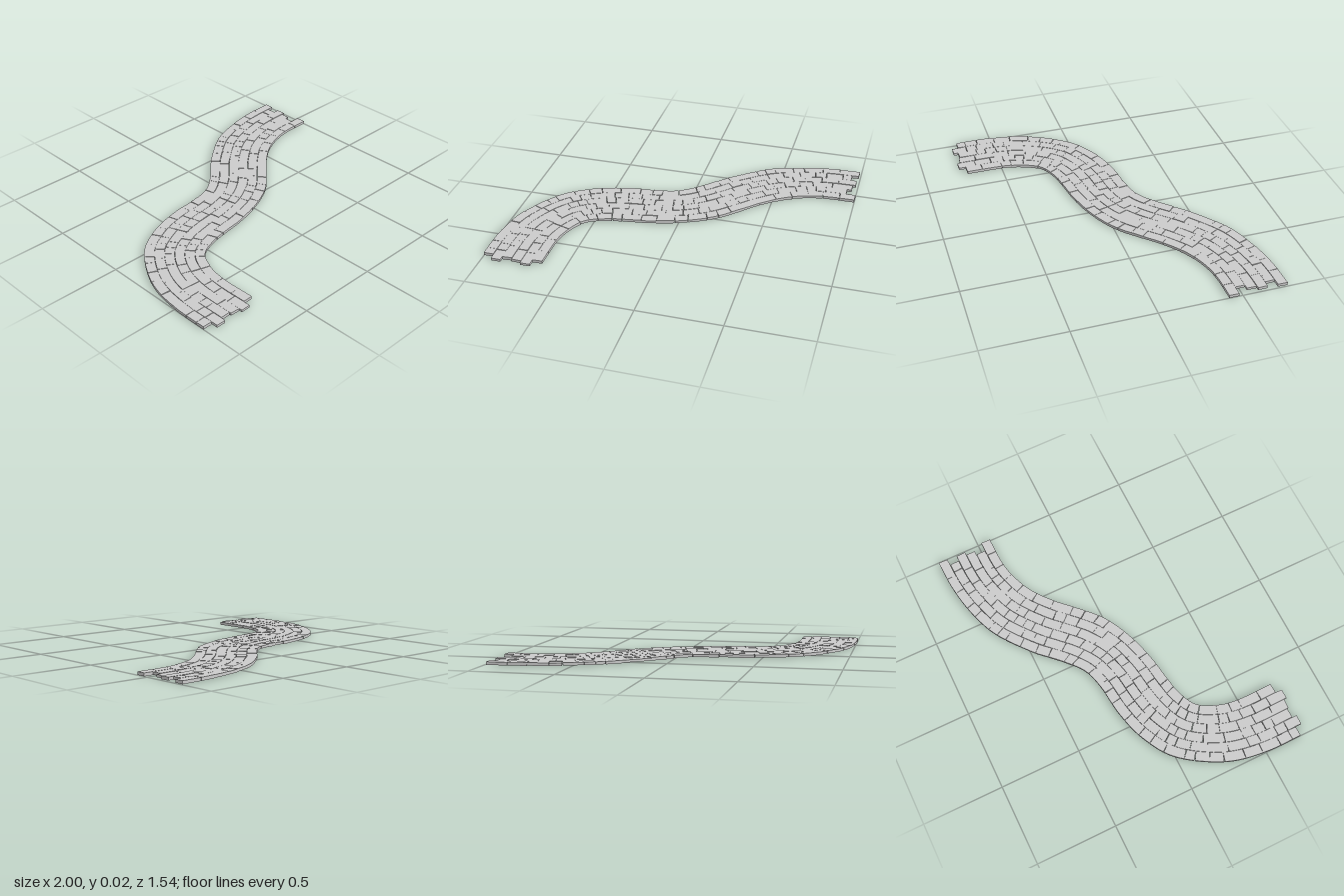
import * as THREE from 'three';

// Matching points on the two kerbs of the path: outer x, z, inner x, z
const RAILS = [
  [-1, 0.77, -0.64, 0.77], [-0.998, 0.5, -0.64, 0.5], [-0.945, 0.25, -0.61, 0.36],
  [-0.79, 0, -0.55, 0.255], [-0.6, -0.125, -0.44, 0.2], [-0.4, -0.185, -0.32, 0.175],
  [-0.2, -0.21, -0.16, 0.148], [-0.07, -0.25, 0.03, 0.09], [0.03, -0.33, 0.2, 0],
  [0.1, -0.4, 0.34, -0.13], [0.2, -0.5, 0.44, -0.23], [0.4, -0.65, 0.57, -0.33],
  [0.6, -0.727, 0.71, -0.39], [0.8, -0.765, 0.83, -0.413], [1, -0.775, 1, -0.418],
];
// How far each row stops short of the two ends
const START_TRIM = [0.04, 0, 0.03, 0.02, 0, 0.045];
const END_TRIM = [0.01, 0.052, 0.015, 0.033, 0.06, 0];
const ROWS = 6;
const GAP = 0.0025;

let seed = 7;
function rand(min, max) {
  seed = (seed * 16807) % 2147483647;
  return min + (max - min) * (seed / 2147483647);
}

// Curve along the path at v = 0 (outer kerb) to 1 (inner kerb)
function laneCurve(v) {
  const points = RAILS.map(([ax, az, bx, bz]) =>
    new THREE.Vector3(ax + (bx - ax) * v, 0, az + (bz - az) * v));
  const curve = new THREE.CatmullRomCurve3(points, false, 'catmullrom', 0.5);
  curve.arcLengthDivisions = 400;
  return curve;
}

const outer = laneCurve(0);
const inner = laneCurve(1);

// A box bent to follow the path between t0..t1 and v0..v1
function brickGeometry(t0, t1, v0, v1, bottom, top) {
  const geometry = new THREE.BoxGeometry(1, 1, 1, 4, 1, 1);
  const pos = geometry.attributes.position;
  const skew = rand(-0.0008, 0.0008);
  for (let i = 0; i < pos.count; i++) {
    const across = pos.getZ(i);
    const t = THREE.MathUtils.clamp(
      THREE.MathUtils.lerp(t0, t1, pos.getX(i) + 0.5) + skew * across, 0, 1);
    const p = outer.getPoint(t).lerp(inner.getPoint(t),
      THREE.MathUtils.lerp(v0, v1, across + 0.5));
    pos.setXYZ(i, p.x, pos.getY(i) > 0 ? top : bottom, p.z);
  }
  geometry.computeVertexNormals();
  return geometry;
}

export function createModel() {
  const path = new THREE.Group();
  path.name = 'brickPath';
  const material = new THREE.MeshStandardMaterial({ color: 0xcccccc, flatShading: true });
  const gapV = GAP / 0.36;

  for (let r = 0; r < ROWS; r++) {
    const row = new THREE.Group();
    row.name = `brickRow${r + 1}`;
    const lane = laneCurve((r + 0.5) / ROWS);
    const length = lane.getLength();
    const end = length - END_TRIM[r];
    const tAt = (s) => lane.getUtoTmapping(s / length);

    // Lay bricks of varied length until the row is full
    let s = START_TRIM[r];
    while (s < end - 0.001) {
      let next = s + rand(0.055, 0.13);
      if (end - next < 0.05) next = end;
      const v0 = r / ROWS + (r > 0 ? gapV * rand(0.1, 0.6) : 0);
      const v1 = (r + 1) / ROWS - (r < ROWS - 1 ? gapV * rand(0.1, 0.6) : 0);
      const cut = GAP * rand(0.4, 1.3);
      const brick = new THREE.Mesh(
        brickGeometry(tAt(s), tAt(next === end ? end : next - cut), v0, v1,
          rand(0, 0.003), rand(0.017, 0.02)),
        material);
      brick.name = 'brick';
      row.add(brick);
      s = next;
    }
    path.add(row);
  }
  return path;
}
